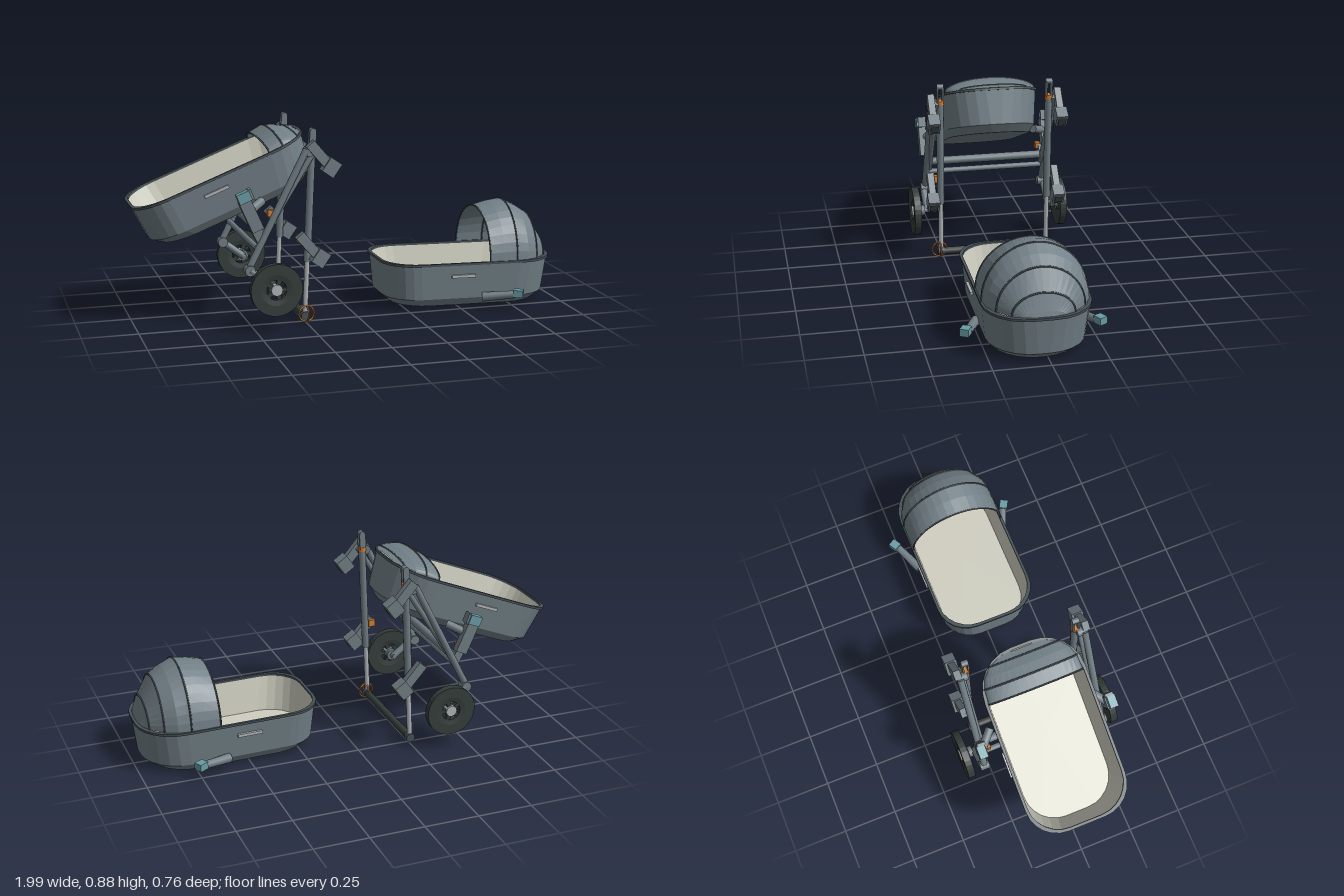
import * as THREE from 'three';

const mat = (name, color, side = THREE.FrontSide) => {
  const m = new THREE.MeshStandardMaterial({ color, side });
  m.name = name;
  return m;
};
const M = {
  fabric: mat('slate fabric', 0x728087, THREE.DoubleSide),
  frame: mat('slate frame', 0x707d84),
  trim: mat('dark trim', 0x465056),
  lining: mat('beige lining', 0xd0cfc1),
  rubber: mat('black rubber', 0x343d3b),
  silver: mat('silver metal', 0xb0b5b8),
  teal: mat('teal latch', 0x6a9ca5),
  orange: mat('orange accent', 0xd67f2e),
};

const v3 = (x, y, z) => new THREE.Vector3(x, y, z);

function add(parent, name, geo, material) {
  const m = new THREE.Mesh(geo, material);
  m.name = name;
  parent.add(m);
  return m;
}

function flat(geo) {
  const g = geo.index ? geo.toNonIndexed() : geo;
  g.computeVertexNormals();
  return g;
}

// Skin over a list of equal-length rings of points
function loft(rings, closed) {
  const n = rings[0].length, pos = [], idx = [];
  rings.forEach((r) => r.forEach((p) => pos.push(p.x, p.y, p.z)));
  for (let k = 0; k < rings.length - 1; k++) {
    for (let i = 0; i < (closed ? n : n - 1); i++) {
      const j = (i + 1) % n, a = k * n, b = a + n;
      idx.push(a + i, b + i, a + j, a + j, b + i, b + j);
    }
  }
  const g = new THREE.BufferGeometry();
  g.setAttribute('position', new THREE.Float32BufferAttribute(pos, 3));
  g.setIndex(idx);
  return flat(g);
}

// Horizontal rounded outline, rounder at the head end (+x)
function outline(hl, hw, y) {
  const pts = [], seg = 6;
  [[1, 1, 0.19], [-1, 1, 0.15], [-1, -1, 0.15], [1, -1, 0.19]].forEach(([sx, sz, r0], q) => {
    const r = Math.min(r0, hw * 0.95);
    for (let i = 0; i <= seg; i++) {
      const t = (q + i / seg) * Math.PI / 2;
      pts.push(v3(sx * (hl - r) + r * Math.cos(t), y, sz * (hw - r) + r * Math.sin(t)));
    }
  });
  return pts;
}
const centre = (y) => outline(1, 1, y).map(() => v3(0, y, 0));

function rod(parent, name, a, b, r, material, r2 = r) {
  const m = add(parent, name, new THREE.CylinderGeometry(r2, r, a.distanceTo(b), 12), material);
  m.position.copy(a).add(b).multiplyScalar(0.5);
  m.quaternion.setFromUnitVectors(v3(0, 1, 0), b.clone().sub(a).normalize());
  return m;
}

// Box running between two points of a plane at depth z
function beam(parent, name, [x1, y1], [x2, y2], z, thick, depth, material) {
  const m = add(parent, name, new THREE.BoxGeometry(Math.hypot(x2 - x1, y2 - y1), thick, depth), material);
  m.position.set((x1 + x2) / 2, (y1 + y2) / 2, z);
  m.rotation.z = Math.atan2(y2 - y1, x2 - x1);
  return m;
}

const arch = (u, hw, h) => Array.from({ length: 19 }, (_, i) => {
  const t = i / 18 * Math.PI;
  return v3(u, 0.002 + h * Math.sin(t), hw * Math.cos(t));
});

// Carrycot with its origin at the middle of the rim
function bassinet(name, hood, ribs) {
  const g = new THREE.Group();
  g.name = name;
  add(g, 'bassinetShell', loft([centre(-0.203), outline(0.36, 0.193, -0.203),
    outline(0.4, 0.216, -0.167), outline(0.416, 0.232, 0)], true), M.fabric);
  add(g, 'bassinetLining', loft([outline(0.411, 0.227, 0), outline(0.386, 0.202, -0.172),
    centre(-0.172)], true), M.lining);
  add(g, 'rim', loft([[0.421, 0.237, -0.007], [0.421, 0.237, 0.004], [0.408, 0.224, 0.004],
    [0.408, 0.224, -0.007], [0.421, 0.237, -0.007]].map((p) => outline(...p)), true), M.trim);
  add(g, 'hood', loft(hood.map((s) => arch(...s)), false), M.fabric);
  ribs.forEach((k) => {
    const path = new THREE.CatmullRomCurve3(arch(...hood[k]));
    add(g, 'hoodRib', new THREE.TubeGeometry(path, 28, 0.004, 6), M.trim);
  });
  for (const s of [1, -1]) {
    const h = add(g, 'sideHandle', new THREE.BoxGeometry(0.115, 0.014, 0.012), M.silver);
    h.position.set(-0.06, -0.058, s * 0.233);
  }
  return g;
}

function wheel(z) {
  const g = new THREE.Group();
  g.name = 'wheel';
  const p = [[0.045, -0.012], [0.07, -0.0165], [0.117, -0.0165], [0.117, 0.0165],
    [0.07, 0.0165], [0.045, 0.012], [0.045, -0.012]].map((q) => new THREE.Vector2(...q));
  add(g, 'tyre', flat(new THREE.LatheGeometry(p, 32)), M.rubber).rotation.x = Math.PI / 2;
  rod(g, 'hub', v3(0, 0, -0.018), v3(0, 0, 0.018), 0.026, M.silver);
  for (let i = 0; i < 5; i++) {
    const t = i * Math.PI * 0.4, c = Math.cos(t), s = Math.sin(t);
    beam(g, 'spoke', [0.02 * c, 0.02 * s], [0.05 * c, 0.05 * s], 0, 0.02, 0.02, M.rubber);
  }
  g.position.set(-0.408, 0.186, z);
  return g;
}

// Slanted seat adapter with a hollow socket on its lower end
function adapter(parent, x, y, z) {
  beam(parent, 'adapterArm', [x - 0.045, y + 0.06], [x + 0.05, y - 0.05], z, 0.045, 0.032, M.frame);
  beam(parent, 'adapterSocket', [x + 0.025, y - 0.03], [x + 0.075, y - 0.065], z, 0.072, 0.055, M.frame);
  beam(parent, 'socketOpening', [x + 0.07, y - 0.0615], [x + 0.079, y - 0.0678], z, 0.045, 0.036, M.trim);
}

function chassis() {
  const g = new THREE.Group();
  g.name = 'chassis';
  for (const s of [1, -1]) {
    const z = s * 0.26, zo = s * 0.295;
    // Upright telescopic leg
    rod(g, 'lowerLeg', v3(-0.252, 0.04, z), v3(-0.24, 0.3, z), 0.012, M.silver);
    rod(g, 'upperLeg', v3(-0.241, 0.28, z), v3(-0.218, 0.79, z), 0.0175, M.frame);
    rod(g, 'legCollar', v3(-0.219, 0.78, z), v3(-0.218, 0.8, z), 0.02, M.orange);
    for (const d of [1, -1]) {
      beam(g, 'foldingFork', [-0.219, 0.79], [-0.214, 0.865], z + d * 0.012, 0.03, 0.008, M.frame);
    }
    rod(g, 'forkPin', v3(-0.214, 0.866, z - 0.016), v3(-0.214, 0.866, z + 0.016), 0.014, M.frame);
    rod(g, 'foot', v3(-0.252, 0.03, z - 0.015), v3(-0.252, 0.03, z + 0.015), 0.021, M.trim);
    // Sloping wheel leg and its parallel strut
    rod(g, 'wheelLeg', v3(-0.25, 0.792, zo), v3(-0.51, 0.28, zo), 0.016, M.frame);
    rod(g, 'foldingStrut', v3(-0.205, 0.79, z + s * 0.02), v3(-0.46, 0.385, z + s * 0.02), 0.013, M.frame);
    rod(g, 'topHinge', v3(-0.24, 0.78, z), v3(-0.24, 0.78, zo + s * 0.012), 0.022, M.frame);
    const clip = add(g, 'legClip', new THREE.BoxGeometry(0.03, 0.03, 0.025), M.orange);
    clip.position.set(-0.487, 0.46, s * 0.268);
    const button = add(g, 'releaseButton', new THREE.BoxGeometry(0.032, 0.032, 0.026), M.orange);
    button.position.set(-0.278, 0.393, s * 0.283);
    // Wheel suspension
    rod(g, 'suspensionPivot', v3(-0.512, 0.265, zo - s * 0.022), v3(-0.512, 0.265, zo + s * 0.022), 0.024, M.frame);
    rod(g, 'suspensionArm', v3(-0.512, 0.265, zo + s * 0.008), v3(-0.408, 0.186, zo + s * 0.008), 0.017, M.frame);
    rod(g, 'axle', v3(-0.408, 0.186, s * 0.288), v3(-0.408, 0.186, s * 0.35), 0.013, M.frame);
    rod(g, 'axleHousing', v3(-0.408, 0.186, s * 0.315), v3(-0.408, 0.186, s * 0.335), 0.027, M.frame);
    g.add(wheel(s * 0.361));
    adapter(g, -0.193, 0.757, s * 0.303);
    adapter(g, -0.243, 0.352, s * 0.303);
    // Bracket holding the mounted bassinet
    beam(g, 'seatBracket', [-0.535, 0.58], [-0.475, 0.445], s * 0.305, 0.055, 0.035, M.frame);
    beam(g, 'bracketLink', [-0.49, 0.46], [-0.455, 0.39], s * 0.285, 0.04, 0.03, M.frame);
    beam(g, 'bracketLatch', [-0.565, 0.585], [-0.51, 0.607], s * 0.312, 0.045, 0.038, M.teal);
    beam(g, 'latchCover', [-0.513, 0.606], [-0.5, 0.611], s * 0.306, 0.05, 0.038, M.frame);
    rod(g, 'bracketArm', v3(-0.44, 0.56, s * 0.235), v3(-0.51, 0.53, s * 0.3), 0.02, M.frame);
  }
  // Cross members
  rod(g, 'upperCrossbar', v3(-0.447, 0.425, -0.295), v3(-0.447, 0.425, 0.295), 0.02, M.frame);
  rod(g, 'lowerCrossbar', v3(-0.477, 0.363, -0.295), v3(-0.477, 0.363, 0.295), 0.014, M.frame);
  rod(g, 'footCrossbar', v3(-0.252, 0.028, -0.26), v3(-0.252, 0.028, 0.26), 0.018, M.rubber);
  // Safety loop around one foot
  for (const a of [0.1, 1.6]) {
    const ring = add(g, 'safetyLoop', new THREE.TorusGeometry(0.036, 0.004, 6, 24), M.orange);
    ring.position.set(-0.247, 0.041, 0.268);
    ring.rotation.y = a;
  }
  return g;
}

export function createModel() {
  const root = new THREE.Group();
  root.name = 'strollerSet';
  root.add(chassis());

  // Tilted bassinet on the chassis, hood folded
  const mounted = bassinet('mountedBassinet', [[0.222, 0.222, 0.05], [0.29, 0.218, 0.064],
    [0.335, 0.2, 0.045], [0.375, 0.165, 0.02], [0.405, 0.1, 0.004]], [0, 1, 3]);
  mounted.position.set(-0.606, 0.688, 0);
  mounted.rotation.z = 0.38;
  root.add(mounted);

  // Bassinet on the ground, hood open
  const loose = bassinet('looseBassinet', [[0.071, 0.23, 0.222], [0.14, 0.231, 0.242], [0.206, 0.23, 0.252],
    [0.265, 0.222, 0.225], [0.32, 0.19, 0.19], [0.375, 0.135, 0.098], [0.4, 0.09, 0.025], [0.408, 0.04, 0]], [0, 2, 4, 5]);
  loose.position.set(0.5685, 0.215, 0.025);
  loose.rotation.z = -0.019;
  for (const s of [1, -1]) {
    rod(loose, 'mountArm', v3(0.04, -0.165, s * 0.222), v3(0.175, -0.145, s * 0.282), 0.022, M.frame, 0.018);
    const tip = add(loose, 'mountLatch', new THREE.BoxGeometry(0.045, 0.034, 0.04), M.teal);
    tip.position.set(0.19, -0.138, s * 0.294);
    tip.rotation.y = -s * 0.5;
  }
  root.add(loose);
  return root;
}
